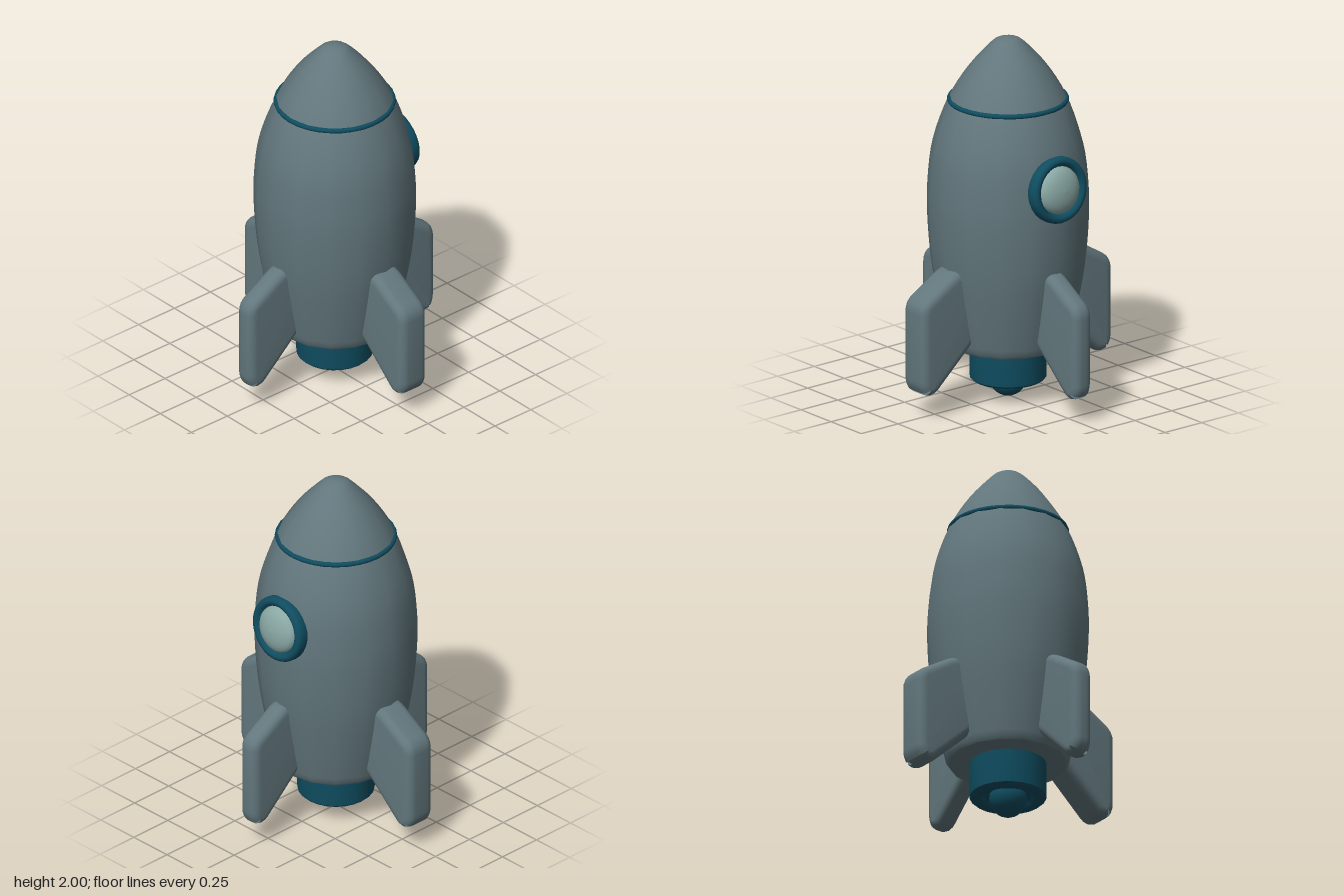
import * as THREE from 'three';
import { toCreasedNormals } from 'three/addons/utils/BufferGeometryUtils.js';

const mat = (name, color) => Object.assign(new THREE.MeshStandardMaterial({ color }), { name });
const v2 = (pts) => pts.map(([x, y]) => new THREE.Vector2(x, y));

// Outline whose corners are rounded by radius r
function roundedShape(pts, r) {
  const p = v2(pts), n = p.length, shape = new THREE.Shape();
  p.forEach((c, i) => {
    const toward = (q) => c.clone().add(q.clone().sub(c).setLength(r));
    const a = toward(p[(i + n - 1) % n]), b = toward(p[(i + 1) % n]);
    if (i === 0) shape.moveTo(a.x, a.y); else shape.lineTo(a.x, a.y);
    shape.quadraticCurveTo(c.x, c.y, b.x, b.y);
  });
  shape.closePath();
  return shape;
}

// Fin standing out along +x, centred on its thickness
function finGeometry(thickness, bevel) {
  const b = bevel;
  const shape = roundedShape([
    [0.26, 0.42 + b], [0.585 - b * 0.1, 0.12 + b * 1.2], [0.648 - b, 0.15 + b],
    [0.648 - b, 0.65 - b * 0.6], [0.40, 0.80 - b * 1.2], [0.26, 0.80 - b * 1.2],
  ], 0.03);
  const depth = thickness - 2 * b;
  const geo = new THREE.ExtrudeGeometry(shape, {
    depth, bevelEnabled: true, bevelSize: b, bevelThickness: b, bevelSegments: 5, curveSegments: 4,
  });
  geo.translate(0, 0, -depth / 2);
  return toCreasedNormals(geo, 0.7);
}

export function createModel() {
  const hull = mat('hull grey', 0x62777d);
  const trim = mat('dark teal', 0x0f4d60);
  const glass = mat('pale glass', 0x8aa8a5);
  const model = new THREE.Group();
  const add = (name, geo, material, parent = model) => {
    const mesh = new THREE.Mesh(geo, material);
    mesh.name = name;
    parent.add(mesh);
    return mesh;
  };

  // Hull: bulging sides up to a blunt nose, closed underneath
  const side = new THREE.SplineCurve(v2([
    [0.328, 0.325], [0.365, 0.5], [0.408, 0.75], [0.428, 1.0], [0.426, 1.2], [0.398, 1.42],
    [0.318, 1.65], [0.21, 1.83], [0.09, 1.965], [0.04, 1.993], [0, 2.0],
  ])).getPoints(40);
  side[side.length - 1].x = 0;
  const bodyProfile = [...v2([[0, 0.3], [0.29, 0.3], [0.315, 0.306]]), ...side];
  add('hull', toCreasedNormals(new THREE.LatheGeometry(bodyProfile, 16), 0.7), hull);

  // Thin band below the nose
  const band = add('noseBand', new THREE.TorusGeometry(0.309, 0.014, 8, 32), trim);
  band.rotation.x = Math.PI / 2;
  band.position.y = 1.655;

  // Engine nozzle with a shallow recess and a round burner
  const nozzle = v2([
    [0, 0.125], [0.125, 0.125], [0.14, 0.1], [0.19, 0.1], [0.203, 0.112], [0.205, 0.13], [0.205, 0.32],
  ]);
  add('nozzle', toCreasedNormals(new THREE.LatheGeometry(nozzle, 24), 0.7), trim);
  add('burner', new THREE.SphereGeometry(0.1, 24, 16), trim).position.y = 0.103;

  // Four fins: slim pair left and right, thick pair front and back
  const slim = finGeometry(0.12, 0.045), thick = finGeometry(0.18, 0.045);
  ['leftFin', 'backFin', 'rightFin', 'frontFin'].forEach((name, i) => {
    const fin = add(name, i % 2 ? thick : slim, hull);
    fin.rotation.y = i * Math.PI / 2;
    if (i % 2 === 0) fin.position.z = 0.01;
  });

  // Porthole on the left side, tipped slightly upward
  const porthole = new THREE.Group();
  porthole.name = 'porthole';
  porthole.position.set(0.41, 1.253, 0);
  porthole.rotation.z = -Math.PI / 2 + 0.09;
  model.add(porthole);
  const frame = v2([
    [0.125, -0.03], [0.176, -0.03], [0.18, -0.02], [0.18, 0.018], [0.174, 0.032], [0.16, 0.04],
    [0.147, 0.038], [0.135, 0.028], [0.125, 0.01], [0.125, -0.03],
  ]);
  add('portholeFrame', toCreasedNormals(new THREE.LatheGeometry(frame, 28), 0.9), trim, porthole);
  const pane = [0, 1, 2, 3, 4, 5, 6].map((i) => {
    const a = (i / 6) * Math.PI / 2;
    return new THREE.Vector2(i === 6 ? 0 : 0.13 * Math.cos(a), 0.015 + 0.057 * Math.sin(a));
  });
  add('portholeGlass', new THREE.LatheGeometry(pane, 28), glass, porthole);

  return model;
}
